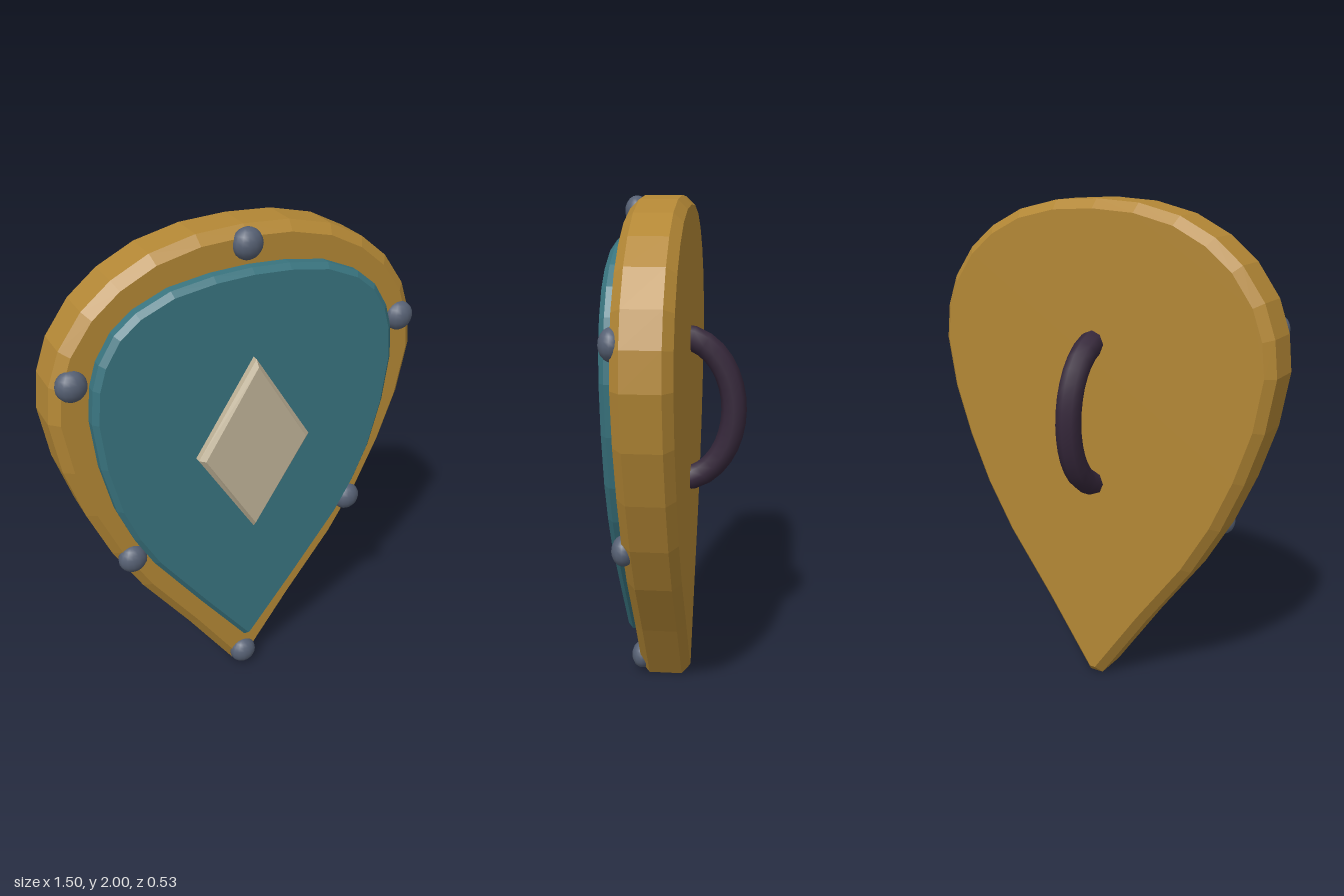
import * as THREE from 'three';

const paint = (name, color) => {
  const m = new THREE.MeshStandardMaterial({ color });
  m.name = name;
  return m;
};

// Closed symmetrical outline from the points of its +x half, top to bottom
function mirroredShape(top, half, bottom) {
  const pts = [];
  if (top !== null) pts.push([0, top]);
  pts.push(...half);
  if (bottom !== null) pts.push([0, bottom]);
  for (const [x, y] of [...half].reverse()) pts.push([-x, y]);
  return new THREE.Shape(pts.map(([x, y]) => new THREE.Vector2(x, y)).reverse());
}

// Bevelled plate whose outer edge is the outline, spanning z0 to z1
function plate(name, shape, z0, z1, bevel, material) {
  const geo = new THREE.ExtrudeGeometry(shape, {
    depth: z1 - z0 - 2 * bevel,
    bevelEnabled: true,
    bevelThickness: bevel,
    bevelSize: bevel,
    bevelOffset: -bevel,
    bevelSegments: 1,
  });
  geo.translate(0, 0, z0 + bevel);
  const mesh = new THREE.Mesh(geo, material);
  mesh.name = name;
  return mesh;
}

export function createModel() {
  const gold = paint('gold', 0xb38735);
  const teal = paint('teal', 0x39747f);
  const bone = paint('bone', 0xbfb297);
  const steel = paint('steel', 0x566073);
  const leather = paint('leather', 0x35273a);

  const group = new THREE.Group();
  group.name = 'shield';

  // Teardrop body
  const bodyShape = mirroredShape(2, [
    [0.18, 1.99], [0.35, 1.95], [0.49, 1.88], [0.6, 1.79], [0.69, 1.665],
    [0.735, 1.54], [0.75, 1.4], [0.715, 1.19], [0.645, 0.98], [0.555, 0.775],
    [0.437, 0.573], [0.24, 0.305], [0.03, 0],
  ], null);
  group.add(plate('body', bodyShape, -0.043, 0.167, 0.035, gold));

  // Raised front panel
  const panelShape = mirroredShape(1.867, [
    [0.147, 1.86], [0.305, 1.835], [0.435, 1.78], [0.515, 1.715], [0.575, 1.62],
    [0.603, 1.53], [0.615, 1.4], [0.595, 1.21], [0.547, 1.01], [0.485, 0.86],
    [0.41, 0.725], [0.21, 0.455], [0.012, 0.197],
  ], null);
  group.add(plate('panel', panelShape, 0.13, 0.223, 0.02, teal));

  // Diamond boss
  const diamondShape = mirroredShape(1.537, [[0.233, 1.17]], 0.803);
  group.add(plate('diamond', diamondShape, 0.19, 0.265, 0.018, bone));

  // Domed rivets around the rim
  const rivetGeo = new THREE.SphereGeometry(0.058, 14, 10);
  for (const [x, y] of [[0, 1.94], [0.665, 1.545], [-0.665, 1.545],
    [0.485, 0.75], [-0.485, 0.75], [0, 0.07]]) {
    const rivet = new THREE.Mesh(rivetGeo, steel);
    rivet.name = 'rivet';
    rivet.position.set(x, y, 0.165);
    rivet.scale.z = 0.78;
    group.add(rivet);
  }

  // Curved grip on the back, ends sunk into the body
  const path = [];
  for (let i = 0; i <= 12; i++) {
    const a = (i / 12) * Math.PI;
    path.push(new THREE.Vector3(0, 1.17 + 0.293 * Math.cos(a), -0.215 * Math.sin(a)));
  }
  const grip = new THREE.Mesh(
    new THREE.TubeGeometry(new THREE.CatmullRomCurve3(path), 16, 0.051, 8), leather);
  grip.name = 'grip';
  group.add(grip);

  return group;
}
